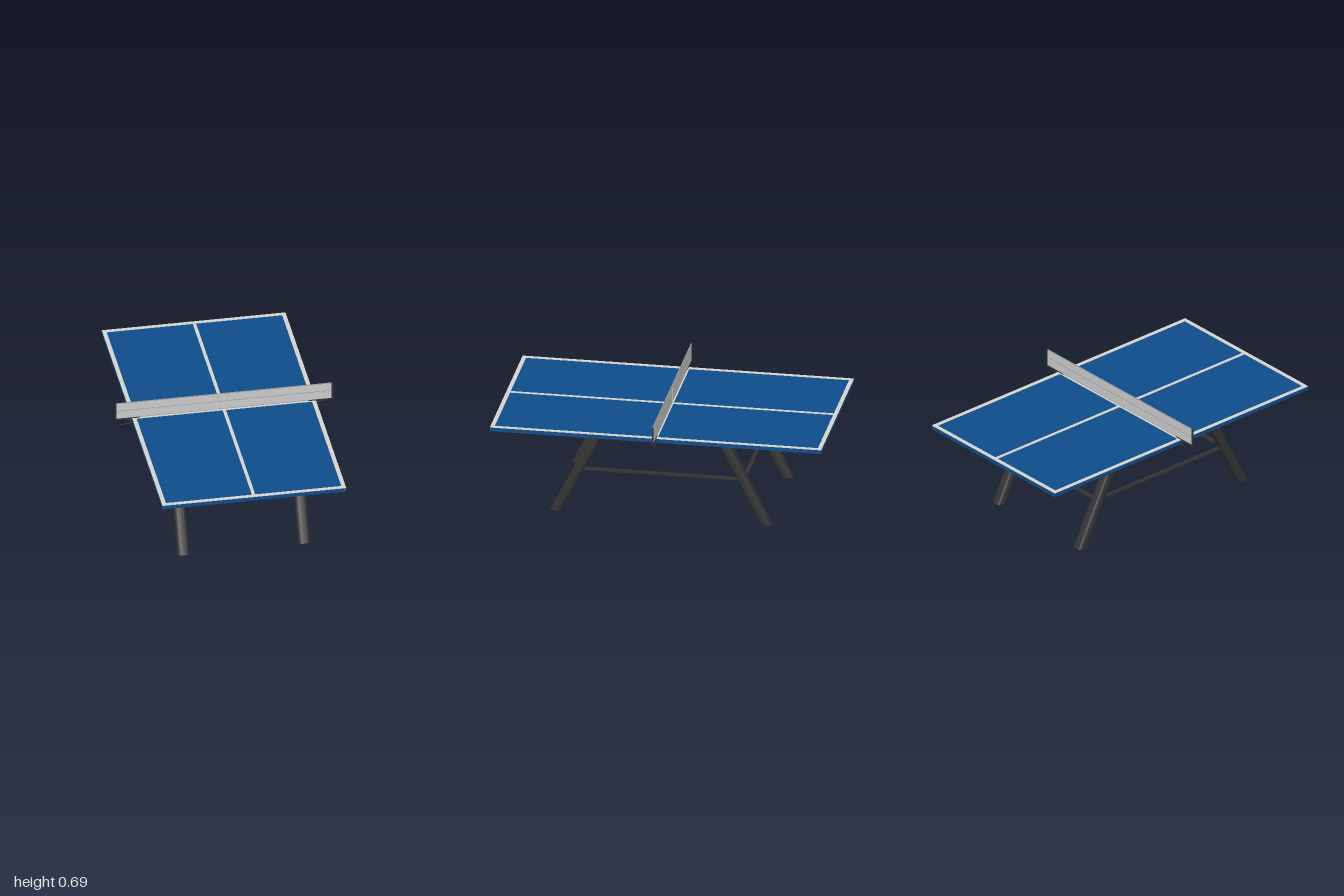
import * as THREE from 'three';
import { toCreasedNormals } from 'three/addons/utils/BufferGeometryUtils.js';

export function createModel() {
  const model = new THREE.Group();
  model.name = 'tableTennisTable';

  const mat = (name, color) => {
    const m = new THREE.MeshStandardMaterial({ color });
    m.name = name;
    return m;
  };
  const blue = mat('tableBlue', 0x0f4c8a);
  const white = mat('lineWhite', 0xd2d2ce);
  const black = mat('frameBlack', 0x333333);
  const grey = mat('netSeamGrey', 0x9a9a9a);
  const netMat = mat('netLightGrey', 0xcccccc);

  const add = (name, geometry, material, x = 0, y = 0, z = 0) => {
    const mesh = new THREE.Mesh(geometry, material);
    mesh.name = name;
    mesh.position.set(x, y, z);
    model.add(mesh);
    return mesh;
  };
  const box = (name, w, h, d, material, x, y, z) =>
    add(name, new THREE.BoxGeometry(w, h, d), material, x, y, z);

  // Table top with painted lines
  const halfW = 0.555, topY = 0.572, border = 0.025, paint = 0.003;
  box('tableTop', halfW * 2, 0.024, 2, blue, 0, topY - 0.012, 0);
  for (const s of [-1, 1]) {
    box('sideLine', border, paint, 2, white, s * (halfW - border / 2), topY + paint / 2, 0);
    box('endLine', (halfW - border) * 2, paint, border, white, 0, topY + paint / 2, s * (1 - border / 2));
    box('centreLine', 0.02, paint, 1 - border - 0.01, white, 0, topY + paint / 2, s * (0.01 + (0.99 - border) / 2));
  }
  box('netLine', (halfW - border) * 2, paint, 0.02, white, 0, topY + paint / 2, 0);

  // Splayed legs: a rounded section extruded upward, then sheared in z
  const legH = 0.55, legX = 0.365, footZ = 0.634, headZ = 0.354;
  const legZ = (y) => footZ + (headZ - footZ) * y / legH;
  const section = (w, d, r) => {
    const s = new THREE.Shape(), a = w / 2, b = d / 2;
    s.absarc(a - r, b - r, r, 0, Math.PI / 2);
    s.absarc(-a + r, b - r, r, Math.PI / 2, Math.PI);
    s.absarc(-a + r, -b + r, r, Math.PI, Math.PI * 1.5);
    s.absarc(a - r, -b + r, r, Math.PI * 1.5, Math.PI * 2);
    return s;
  };
  const legGeometry = (side) => {
    const g = new THREE.ExtrudeGeometry(section(0.07, 0.066, 0.022), { depth: legH, bevelEnabled: false, curveSegments: 5 });
    g.rotateX(-Math.PI / 2);
    const p = g.attributes.position;
    for (let i = 0; i < p.count; i++) p.setZ(i, p.getZ(i) + side * legZ(p.getY(i)));
    return toCreasedNormals(g, 0.7);
  };
  const railY = 0.267, railZ = legZ(railY);
  for (const sz of [-1, 1]) {
    for (const sx of [-1, 1]) add('leg', legGeometry(sz), black, sx * legX, 0, 0);
    box('crossRail', legX * 2 - 0.03, 0.015, 0.024, black, 0, railY, sz * railZ);
  }
  for (const sx of [-1, 1])
    box('sideRail', 0.024, 0.013, railZ * 2 - 0.03, black, sx * legX, railY + 0.003, 0);

  // Net, its lower seam, top tape and centre strap
  const netBottom = 0.58, netTop = 0.685, netHalf = 0.653;
  box('net', netHalf * 2, netTop - netBottom, 0.003, netMat, 0, (netTop + netBottom) / 2, 0);
  box('netTopEdge', netHalf * 2, 0.003, 0.005, grey, 0, netTop, 0);
  box('netSeam', netHalf * 2, 0.003, 0.004, grey, 0, 0.633, 0);
  box('netBottomEdge', netHalf * 2, 0.003, 0.005, grey, 0, netBottom, 0);
  box('netStrap', 0.007, netTop - topY, 0.005, white, 0, (netTop + topY) / 2, 0);

  // Net posts, wedge brackets and clamps at both ends
  for (const s of [-1, 1]) {
    box('netPost', 0.009, 0.112, 0.007, black, s * 0.655, 0.631, 0);
    const wedge = new THREE.Shape();
    wedge.moveTo(s * 0.66, 0.581);
    wedge.lineTo(s * 0.51, 0.581);
    wedge.lineTo(s * 0.51, 0.575);
    wedge.lineTo(s * 0.557, 0.575);
    wedge.lineTo(s * 0.557, 0.556);
    wedge.quadraticCurveTo(s * 0.60, 0.572, s * 0.66, 0.575);
    const g = new THREE.ExtrudeGeometry(wedge, { depth: 0.007, bevelEnabled: false, curveSegments: 6 });
    add('netBracket', g, black, 0, 0, -0.0035);
    box('clampJaw', 0.05, 0.005, 0.009, black, s * 0.545, 0.545, 0);
    box('clampPlate', 0.006, 0.03, 0.009, black, s * 0.56, 0.557, 0);
    const screw = add('clampScrew', new THREE.CylinderGeometry(0.002, 0.002, 0.07, 6), black, s * 0.595, 0.538, 0);
    screw.rotation.z = s * (Math.PI / 2 - 0.1);
  }
  return model;
}
